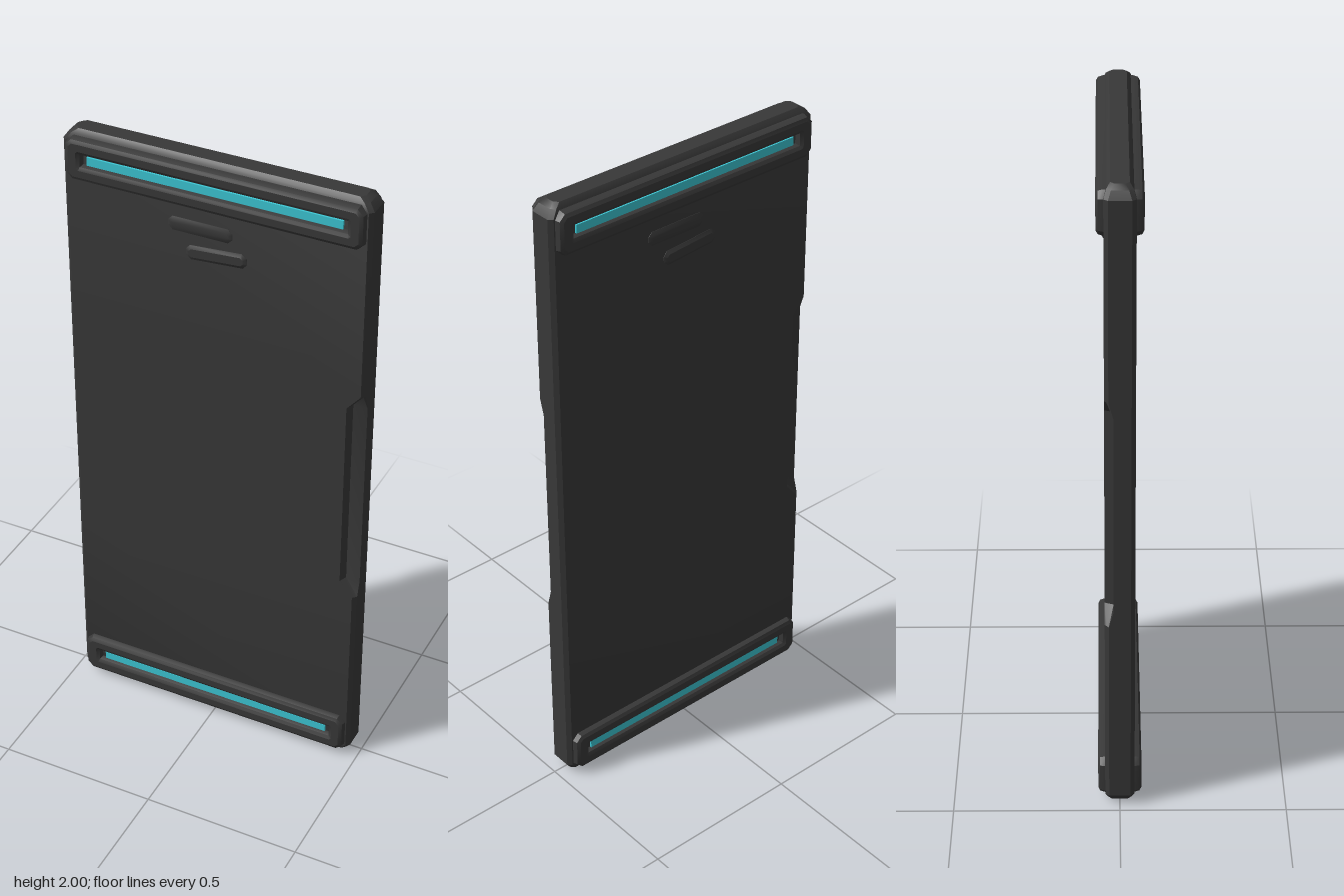
import * as THREE from 'three';
import { toCreasedNormals } from 'three/addons/utils/BufferGeometryUtils.js';

const casing = new THREE.MeshStandardMaterial({ color: 0x383838 });
casing.name = 'charcoal casing';
const glow = new THREE.MeshStandardMaterial({ color: 0x3cc6d3 });
glow.name = 'cyan light';

function add(parent, name, geometry, material) {
  const mesh = new THREE.Mesh(geometry, material);
  mesh.name = name;
  parent.add(mesh);
  return mesh;
}

// One horizontal slice of the slab; n = 1 cuts the grip recess into the
// front edge at +x and the back edge at -x.
function slice(w, d, n) {
  const c = 0.012;
  const mix = (a, b) => a + (b - a) * n;
  const half = [
    [w, -(d - c)],
    [w, mix(d - c, 0.018)],
    [mix(w - c / 2, 0.43), mix(d - c / 2, 0.018)],
    [mix(w - c, 0.42), d],
    [-(w - c), d],
  ];
  return [...half, ...half.map(([x, z]) => [-x, -z])];
}

// Slab lofted from slices stacked along y
function slabGeometry() {
  const stations = [ // y, half width, half depth, recess
    [0, 0.44, 0.026, 0], [0.012, 0.458, 0.036, 0], [0.035, 0.474, 0.044, 0],
    [0.64, 0.474, 0.044, 0], [0.69, 0.474, 0.044, 1],
    [1.32, 0.474, 0.044, 1], [1.37, 0.474, 0.044, 0],
    [1.965, 0.474, 0.044, 0], [1.988, 0.458, 0.036, 0], [2, 0.44, 0.026, 0],
  ];
  const pos = [], idx = [], N = 10;
  for (const [y, w, d, n] of stations) {
    for (const [x, z] of slice(w, d, n)) pos.push(x, y, z);
  }
  for (let s = 0; s < stations.length - 1; s++) {
    for (let i = 0; i < N; i++) {
      const a = s * N + i, b = s * N + (i + 1) % N;
      idx.push(a, a + N, b + N, a, b + N, b);
    }
  }
  const top = (stations.length - 1) * N;
  for (let i = 1; i < N - 1; i++) {
    idx.push(0, i, i + 1, top, top + i + 1, top + i);
  }
  const g = new THREE.BufferGeometry();
  g.setAttribute('position', new THREE.Float32BufferAttribute(pos, 3));
  g.setIndex(idx);
  return toCreasedNormals(g, 0.5);
}

// Rectangle with clipped corners
function clippedRect(Type, w, h, c) {
  const p = new Type();
  p.moveTo(-w + c, -h);
  p.lineTo(w - c, -h);
  p.lineTo(w, -h + c);
  p.lineTo(w, h - c);
  p.lineTo(w - c, h);
  p.lineTo(-w + c, h);
  p.lineTo(-w, h - c);
  p.lineTo(-w, -h + c);
  p.closePath();
  return p;
}

// Thickened end band with a sloped slot on both faces
function bandGeometry() {
  const shape = clippedRect(THREE.Shape, 0.444, 0.052, 0.012);
  shape.holes.push(clippedRect(THREE.Path, 0.42, 0.03, 0.006));
  const g = new THREE.ExtrudeGeometry(shape, {
    depth: 0.09, bevelEnabled: true, bevelThickness: 0.02, bevelSize: 0.014, bevelSegments: 2,
  });
  g.translate(0, 0, -0.045);
  return toCreasedNormals(g, 0.5);
}

// Low tapered pad, rising from the slab face
function padGeometry(w, h, rise) {
  const g = new THREE.ExtrudeGeometry(clippedRect(THREE.Shape, w, h, 0.008), {
    depth: 0.002, bevelEnabled: true, bevelThickness: rise, bevelSize: 0.01, bevelSegments: 1,
  });
  return toCreasedNormals(g, 0.5);
}

export function createModel() {
  const model = new THREE.Group();
  model.name = 'slimPanel';

  add(model, 'slab', slabGeometry(), casing);

  // End bands with light strips front and back
  for (const [end, y] of [['top', 1.917], ['bottom', 0.088]]) {
    const group = new THREE.Group();
    group.name = end + 'End';
    group.position.y = y;
    add(group, 'endBand', bandGeometry(), casing);
    for (const side of [1, -1]) {
      const strip = add(group, 'lightStrip', new THREE.BoxGeometry(0.785, 0.026, 0.008), glow);
      strip.position.set(0, -0.002, side * 0.047);
    }
    model.add(group);
  }

  // Raised latch ridges below the top band, same on both faces
  for (const turn of [0, Math.PI]) {
    const latch = new THREE.Group();
    latch.name = 'latch';
    latch.rotation.y = turn;
    const upper = add(latch, 'latchRidge', padGeometry(0.09, 0.012, 0.005), casing);
    upper.position.set(-0.04, 1.785, 0.043);
    const lower = add(latch, 'latchLip', padGeometry(0.085, 0.013, 0.006), casing);
    lower.position.set(0.01, 1.71, 0.043);
    lower.rotation.z = 0.08;
    model.add(latch);
  }

  return model;
}
